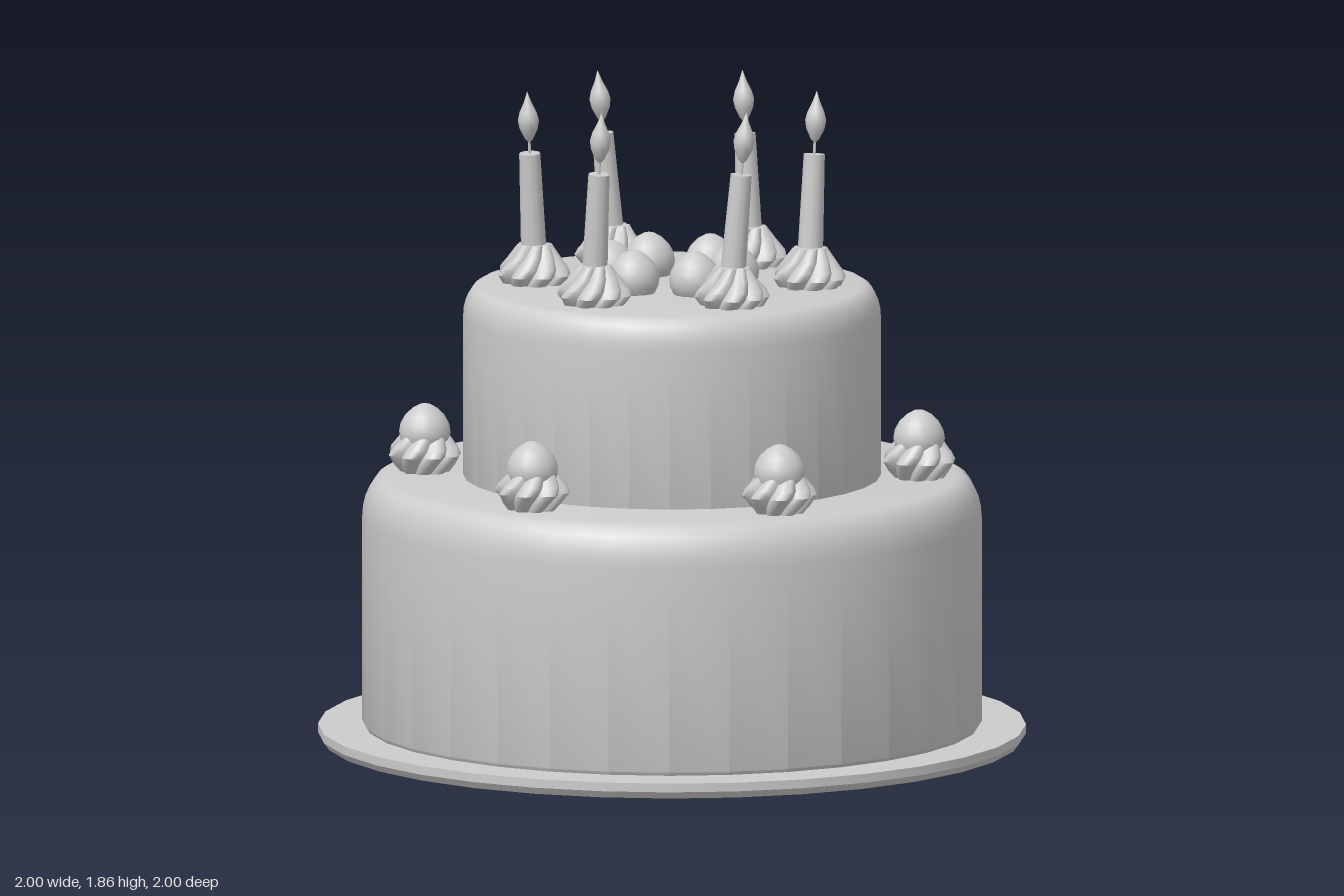
import * as THREE from 'three';
import { mergeVertices, toCreasedNormals } from 'three/addons/utils/BufferGeometryUtils.js';

const material = new THREE.MeshStandardMaterial({ color: 0xcccccc });

function mesh(name, geometry) {
  const m = new THREE.Mesh(geometry, material);
  m.name = name;
  return m;
}

function lathe(points, segments) {
  return new THREE.LatheGeometry(points.map(([r, y]) => new THREE.Vector2(r, y)), segments);
}

// Round cake layer with a softly rounded top edge
function tierGeometry(radius, bottom, top, round) {
  const points = [[0, bottom], [radius - 0.01, bottom], [radius, bottom + 0.015]];
  for (let i = 0; i <= 6; i++) {
    const a = (i / 6) * Math.PI / 2;
    points.push([radius - round.r * (1 - Math.cos(a)), top - round.h * (1 - Math.sin(a))]);
  }
  points.push([0, top]);
  return toCreasedNormals(lathe(points, 32), 0.6);
}

// Piped cream: eight rounded lobes, twisted as they rise
function creamGeometry() {
  const geo = lathe([[0, 0], [0.07, 0], [0.088, 0.022], [0.107, 0.05], [0.1, 0.07],
    [0.074, 0.1], [0.05, 0.135], [0, 0.14]], 48);
  const p = geo.attributes.position;
  for (let i = 0; i < p.count; i++) {
    const x = p.getX(i), y = p.getY(i), z = p.getZ(i);
    const angle = Math.atan2(x, z);
    const r = Math.hypot(x, z) * (0.8 + 0.2 * Math.abs(Math.cos(4 * angle)));
    const turned = angle + y * 8;
    p.setXYZ(i, r * Math.sin(turned), y, r * Math.cos(turned));
  }
  geo.deleteAttribute('uv');
  geo.deleteAttribute('normal');
  return toCreasedNormals(mergeVertices(geo, 1e-5), 0.7);
}

// Candle with wick and flame, base at the origin, leaning slightly
function makeCandle() {
  const candle = new THREE.Group();
  candle.name = 'candle';
  const wax = mesh('wax', new THREE.CylinderGeometry(0.03, 0.037, 0.32, 12));
  wax.position.y = 0.16;
  const wick = mesh('wick', new THREE.CylinderGeometry(0.004, 0.004, 0.06, 6));
  wick.position.y = 0.34;
  const flameGeo = lathe([[0, 0], [0.012, 0.012], [0.026, 0.042], [0.03, 0.066],
    [0.024, 0.09], [0.011, 0.118], [0, 0.15]], 12);
  const flame = mesh('flame', flameGeo);
  flame.position.y = 0.35;
  candle.add(wax, wick, flame);
  candle.rotation.set(0.035, 0, -0.075);
  return candle;
}

export function createModel() {
  const cake = new THREE.Group();
  cake.name = 'cake';

  // Serving plate with a recessed underside
  cake.add(mesh('plate', toCreasedNormals(lathe([[0, 0.03], [0.87, 0.03], [0.87, 0],
    [0.985, 0], [1, 0.02], [1, 0.045], [0, 0.045]], 32), 0.6)));

  // Two cake layers
  cake.add(mesh('lowerTier', tierGeometry(0.875, 0.04, 0.76, { r: 0.07, h: 0.12 })));
  cake.add(mesh('upperTier', tierGeometry(0.59, 0.74, 1.305, { r: 0.05, h: 0.09 })));

  const creamGeo = creamGeometry();
  const berryGeo = lathe([[0, -0.07], [0.032, -0.063], [0.057, -0.042], [0.07, -0.015],
    [0.073, 0.006], [0.069, 0.029], [0.056, 0.053], [0.035, 0.073], [0.015, 0.084], [0, 0.087]], 20);

  for (let i = 0; i < 6; i++) {
    const angle = i * Math.PI / 3;

    // Cream and berry on the lower layer
    const topping = new THREE.Group();
    topping.name = 'lowerTopping';
    const lowerCream = mesh('cream', creamGeo);
    const lowerBerry = mesh('berry', berryGeo);
    lowerCream.position.y = 0.76;
    lowerBerry.position.y = 0.868;
    topping.add(lowerCream, lowerBerry);
    topping.position.set(0.7 * Math.sin(angle), 0, 0.7 * Math.cos(angle));
    topping.rotation.y = angle;
    cake.add(topping);

    // Cream and candle on the upper layer
    const holder = new THREE.Group();
    holder.name = 'candleHolder';
    const upperCream = mesh('cream', creamGeo);
    upperCream.position.y = 1.28;
    const candle = makeCandle();
    candle.position.y = 1.36;
    holder.add(upperCream, candle);
    holder.position.set(0.39 * Math.sin(angle), 0, 0.39 * Math.cos(angle));
    holder.rotation.y = angle;
    cake.add(holder);

    // Ring of berries around the middle
    const berry = mesh('topBerry', berryGeo);
    const a = angle - Math.PI + 0.07 * -1;
    berry.position.set(0.175 * Math.sin(a), 1.34, 0.175 * Math.cos(a));
    cake.add(berry);
  }
  return cake;
}
